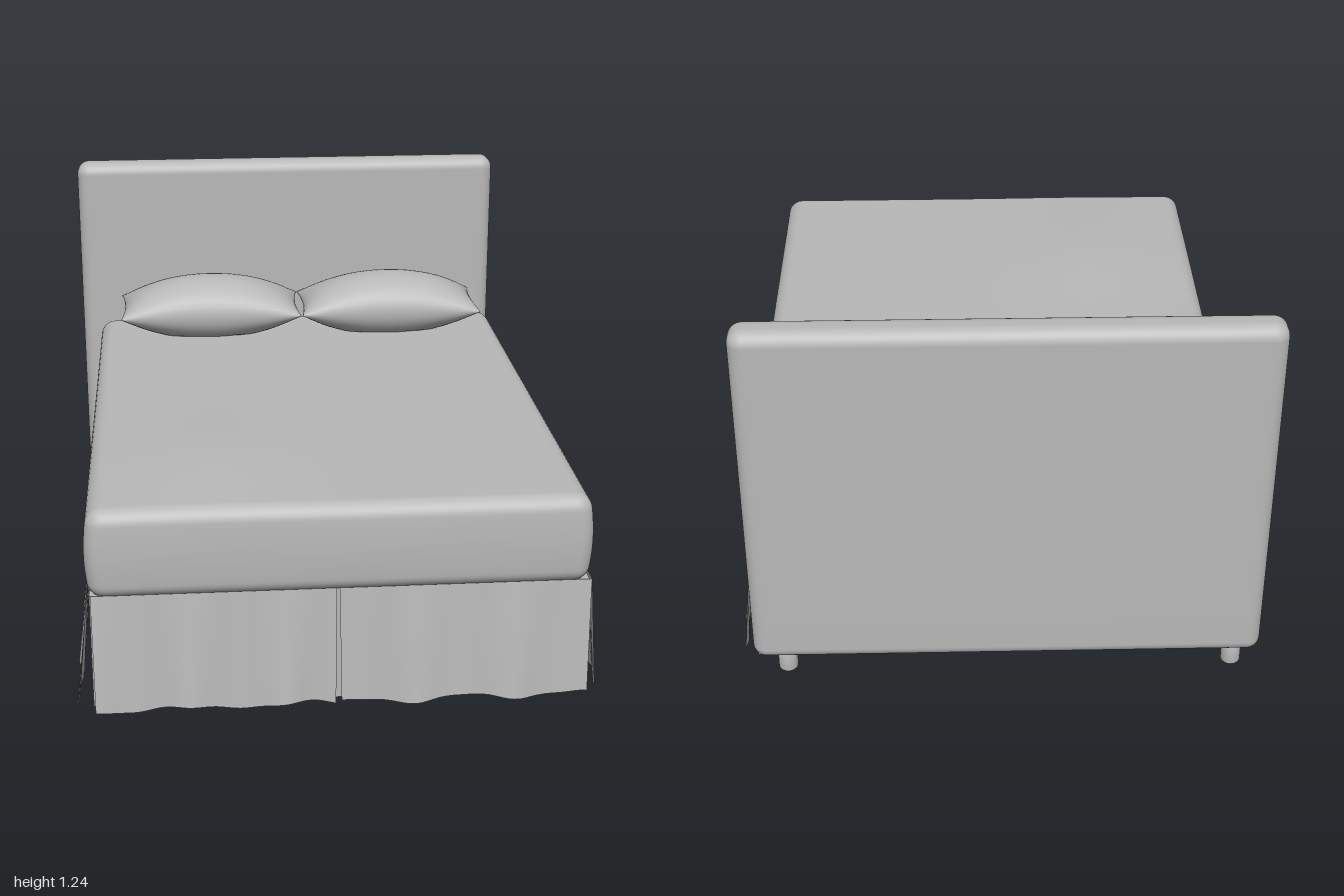
import * as THREE from 'three';
import { mergeVertices } from 'three/addons/utils/BufferGeometryUtils.js';

const fabric = new THREE.MeshStandardMaterial({ color: 0xb8b8b8 });
fabric.name = 'grey fabric';
const sheet = new THREE.MeshStandardMaterial({ color: 0xb8b8b8, side: THREE.DoubleSide });
sheet.name = 'grey skirt cloth';

// Welds a geometry and gives it smooth normals
function smooth(geometry) {
  geometry.deleteAttribute('uv');
  geometry.deleteAttribute('normal');
  const welded = mergeVertices(geometry, 1e-5);
  welded.computeVertexNormals();
  return welded;
}

// Moves every vertex of a geometry by a rule
function shape(geometry, rule) {
  const p = geometry.attributes.position;
  const v = new THREE.Vector3();
  for (let i = 0; i < p.count; i++) {
    rule(v.fromBufferAttribute(p, i));
    p.setXYZ(i, v.x, v.y, v.z);
  }
  return geometry;
}

// Rounded box from min to max corners, with a face grid that a rule may bend
function softBox(min, max, r, bend) {
  const n = 20, edge = 4;
  const half = max.map((m, i) => (m - min[i]) / 2);
  const mid = max.map((m, i) => (m + min[i]) / 2);
  const inner = new THREE.Vector3();
  const spread = (t, h) => {
    const k = Math.abs(t) * n / 2, flat = n / 2 - edge;
    const d = k <= flat ? (k / flat) * (h - r) : h - r + r * Math.tan((k - flat) / edge * Math.PI / 4);
    return Math.sign(t) * d;
  };
  const geometry = shape(new THREE.BoxGeometry(2, 2, 2, n, n, n), v => {
    v.set(spread(v.x, half[0]), spread(v.y, half[1]), spread(v.z, half[2]));
    inner.set(...v.toArray().map((c, i) => THREE.MathUtils.clamp(c, r - half[i], half[i] - r)));
    v.sub(inner).setLength(r).add(inner);
    v.x += mid[0]; v.y += mid[1]; v.z += mid[2];
    if (bend) bend(v);
  });
  return smooth(geometry);
}

// Pillow: pinched seam all round, plump top and flatter underside
function pillowGeometry(width, depth, lift, drop) {
  return smooth(shape(new THREE.BoxGeometry(2, 2, 2, 28, 1, 20), v => {
    const u = Math.sin(v.x * Math.PI / 2), w = Math.sin(v.z * Math.PI / 2);
    const puff = Math.pow(1 - u * u, 0.62) * Math.pow(1 - w * w, 0.48);
    const y = v.y > 0 ? lift * puff : -Math.min(drop, drop * 1.35 * puff);
    // sides draw in slightly between the corners
    v.set(u * width / 2 * (1 - 0.04 * (1 - w * w)), y, w * depth / 2 * (1 - 0.03 * (1 - u * u)));
  }));
}

// Flared cloth panel hanging in the local xy plane, facing +z
function skirtPanel(width, flare, seed) {
  const top = 0.388, bottom = 0.028;
  return smooth(shape(new THREE.PlaneGeometry(width, 1, 40, 10), v => {
    const fall = 0.5 - v.y;
    const along = v.x / width + 0.5;
    const wave = 0.008 * Math.sin(along * 17 + seed) + 0.005 * Math.sin(along * 31 + seed * 2);
    const hem = 0.008 * Math.sin(along * 13 + seed * 3);
    v.x *= 1 - 0.012 * fall;
    v.y = top + (bottom + hem - top) * fall;
    v.z = flare * fall + wave * fall;
  }));
}

export function createModel() {
  const group = new THREE.Group();
  const add = (name, geometry, material = fabric, parent = group) => {
    const mesh = new THREE.Mesh(geometry, material);
    mesh.name = name;
    parent.add(mesh);
    return mesh;
  };

  // Headboard and its two feet
  add('headboard', softBox([-0.8, 0.08, -1], [0.745, 1.24, -0.89], 0.042));
  const footProfile = [[0, 0], [0.022, 0.002], [0.03, 0.012], [0.03, 0.1], [0, 0.1]]
    .map(([x, y]) => new THREE.Vector2(x, y));
  for (const x of [-0.72, 0.645]) {
    add('headboardFoot', new THREE.LatheGeometry(footProfile, 20)).position.set(x, 0, -0.94);
  }

  // Box base with flat underside
  const base = add('bedBase', new THREE.BoxGeometry(1.465, 0.36, 1.848));
  base.position.set(0.007, 0.205, 0.015);

  // Mattress, with gently bulging sides and a soft rise in the top
  add('mattress', softBox([-0.725, 0.375, -0.885], [0.735, 0.652, 0.955], 0.045, v => {
    const side = Math.sin(THREE.MathUtils.clamp((v.y - 0.37) / 0.28, 0, 1) * Math.PI);
    v.x += 0.012 * side * Math.sign(v.x) * Math.min(1, Math.abs(v.x) / 0.7);
    v.z += 0.008 * side * THREE.MathUtils.smoothstep(v.z, 0.7, 0.95);
    if (v.y > 0.6) {
      v.y += 0.02 * Math.exp(-(((v.x + 0.35) / 0.25) ** 2) - ((v.z - 0.5) / 0.3) ** 2);
    }
  }));

  // Two pillows side by side
  for (const [x, width] of [[-0.323, 0.655], [0.335, 0.655]]) {
    const pillow = add('pillow', pillowGeometry(width, 0.315, 0.118, 0.088));
    pillow.position.set(x, 0.738, -0.73);
  }

  // Bed skirt: two panels on the front and two on each long side
  const skirt = new THREE.Group();
  skirt.name = 'bedSkirt';
  group.add(skirt);
  const panel = (name, width, flare, seed, x, z, turn) => {
    const mesh = add(name, skirtPanel(width, flare, seed), sheet, skirt);
    mesh.position.set(x, 0, z);
    mesh.rotation.y = turn;
  };
  panel('frontSkirtPanel', 0.715, 0.033, 1, -0.365, 0.945, 0);
  panel('frontSkirtPanel', 0.745, 0.033, 2.5, 0.373, 0.945, 0);
  for (const side of [-1, 1]) {
    const x = side < 0 ? -0.732 : 0.746;
    panel('sideSkirtPanel', 0.92, 0.037, 4 + side, x, 0.487, side * Math.PI / 2);
    panel('sideSkirtPanel', 0.92, 0.037, 6 + side, x, -0.443, side * Math.PI / 2);
  }

  return group;
}
